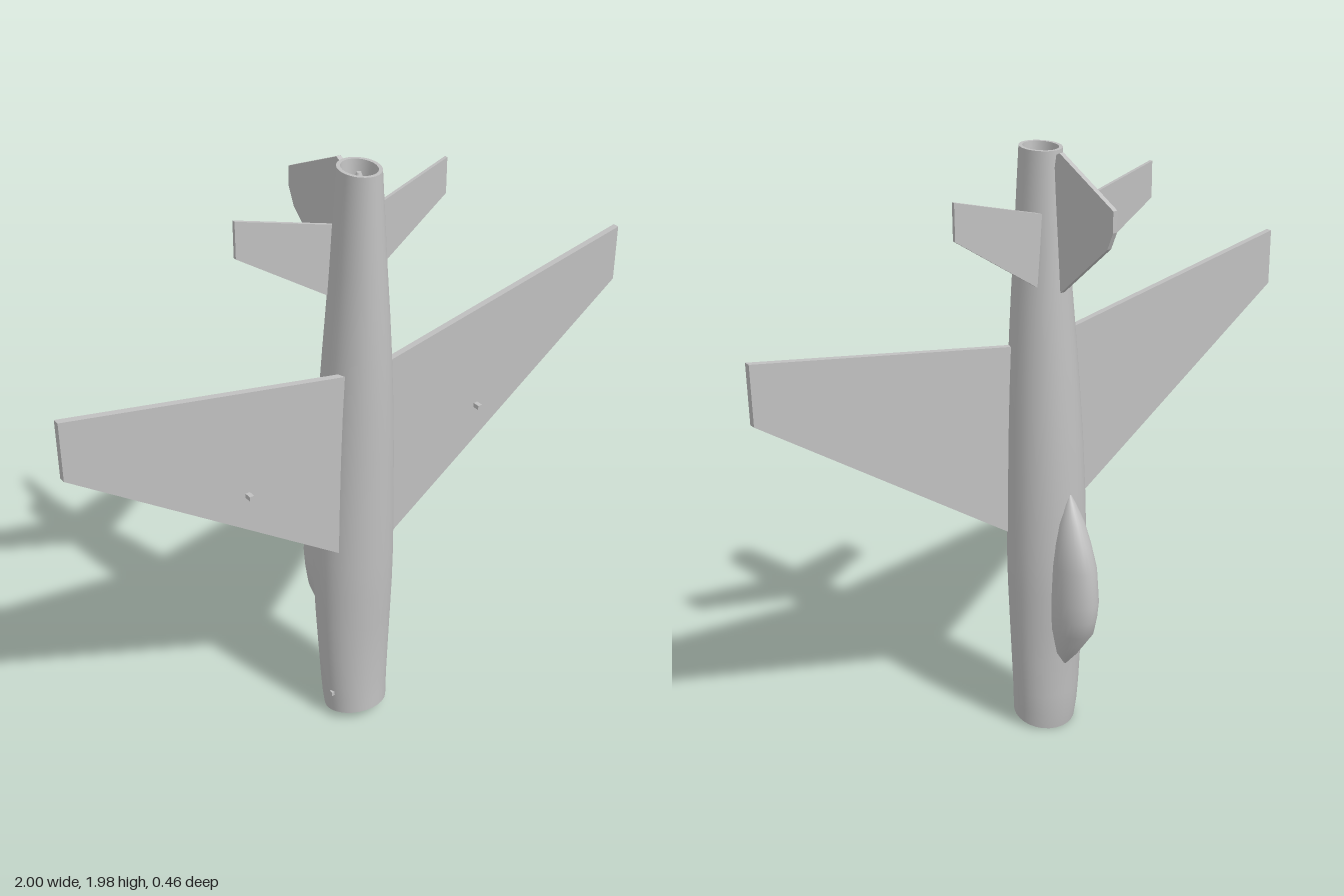
import * as THREE from 'three';

const SEG = 28;
const grey = new THREE.MeshStandardMaterial({ color: 0xc0c0c0, side: THREE.DoubleSide });
grey.name = 'light grey';

// Skin through elliptical sections [y, zMax, zMin, halfWidth, tilt]
function loft(sections) {
  const pos = [], idx = [];
  sections.forEach(([y, z1, z0, hw, tilt = 0]) => {
    for (let i = 0; i < SEG; i++) {
      const a = (i / SEG) * Math.PI * 2;
      const dz = Math.cos(a) * (z1 - z0) / 2;
      pos.push(Math.sin(a) * hw, y + tilt * dz, (z1 + z0) / 2 + dz);
    }
  });
  for (let s = 0; s < sections.length - 1; s++) {
    for (let i = 0; i < SEG; i++) {
      const a = s * SEG + i, b = s * SEG + (i + 1) % SEG;
      idx.push(a, b, b + SEG, a, b + SEG, a + SEG);
    }
  }
  const g = new THREE.BufferGeometry();
  g.setAttribute('position', new THREE.Float32BufferAttribute(pos, 3));
  g.setIndex(idx);
  g.computeVertexNormals();
  return g;
}

// Flat plate from an x/y outline, centred on z = 0
function plate(points, depth) {
  const shape = new THREE.Shape(points.map(([x, y]) => new THREE.Vector2(x, y)));
  return new THREE.ExtrudeGeometry(shape, { depth, bevelEnabled: false }).translate(0, 0, -depth / 2);
}

// Wing panel whose height falls linearly with span
function panel(points, depth, side, zRoot, slope) {
  const g = plate(points.map(([x, y]) => [x * side, y]), depth);
  const p = g.attributes.position;
  for (let i = 0; i < p.count; i++) p.setZ(i, p.getZ(i) + zRoot - slope * Math.abs(p.getX(i)));
  g.computeVertexNormals();
  return g;
}

export function createModel() {
  const model = new THREE.Group();
  const add = (name, geometry, x = 0, y = 0, z = 0) => {
    const m = new THREE.Mesh(geometry, grey);
    m.name = name;
    m.position.set(x, y, z);
    model.add(m);
    return m;
  };

  // Fuselage, nose down, with a slanted intake lip
  add('fuselage', loft([
    [0.023, 0.22, 0.02, 0.105, 0.225],
    [0.075, 0.218, 0.01, 0.109, 0.15],
    [0.14, 0.216, 0.004, 0.113],
    [0.27, 0.215, 0, 0.121],
    [0.4, 0.22, -0.012, 0.126],
    [0.53, 0.227, -0.024, 0.129],
    [0.66, 0.23, -0.029, 0.13],
    [0.85, 0.231, -0.026, 0.126],
    [1.05, 0.231, -0.018, 0.119],
    [1.22, 0.231, -0.008, 0.11],
    [1.38, 0.227, 0.003, 0.1],
    [1.52, 0.221, 0.014, 0.09],
    [1.68, 0.212, 0.025, 0.078],
    [1.83, 0.203, 0.036, 0.069],
    [1.98, 0.194, 0.045, 0.06],
  ]));

  // Intake lip, duct and end wall
  add('intakeLip', loft([
    [0.023, 0.22, 0.02, 0.105, 0.225],
    [0.023, 0.211, 0.029, 0.096, 0.225],
  ]));
  add('intakeDuct', loft([
    [0.023, 0.211, 0.029, 0.096, 0.225],
    [0.1, 0.209, 0.025, 0.097, 0.1],
    [0.3, 0.195, 0.02, 0.09],
  ]));
  add('intakeWall', loft([
    [0.3, 0.195, 0.02, 0.09],
    [0.3, 0.1075, 0.1075, 0],
  ]));

  // Jet nozzle with recessed end and small centre cone
  add('nozzleRim', loft([
    [1.98, 0.194, 0.045, 0.06],
    [1.98, 0.182, 0.057, 0.049],
  ]));
  add('nozzleDuct', loft([
    [1.98, 0.182, 0.057, 0.049],
    [1.93, 0.177, 0.062, 0.045],
  ]));
  add('nozzleWall', loft([
    [1.93, 0.177, 0.062, 0.045],
    [1.93, 0.12, 0.12, 0],
  ]));
  add('exhaustCone', new THREE.CylinderGeometry(0.007, 0.02, 0.04, 16), 0, 1.945, 0.117);

  // Cockpit canopy
  add('canopy', loft([
    [0.255, 0.01, 0.003, 0.004],
    [0.31, 0.045, -0.045, 0.036],
    [0.41, 0.06, -0.118, 0.061],
    [0.47, 0.065, -0.133, 0.066],
    [0.53, 0.065, -0.141, 0.068],
    [0.65, 0.06, -0.131, 0.064],
    [0.73, 0.045, -0.103, 0.054],
    [0.8, 0.02, -0.073, 0.04],
    [0.86, -0.005, -0.04, 0.018],
    [0.89, -0.02, -0.024, 0.003],
  ]));

  // Swept wings, tailplanes and small under-wing fittings
  for (const [side, label] of [[1, 'left'], [-1, 'right']]) {
    add(label + 'Wing', panel(
      [[0.05, 0.678], [1, 1.34], [1, 1.527], [0.05, 1.35]], 0.021, side, 0.165, 0.02), 0, 0, 0);
    add(label + 'Tailplane', panel(
      [[0.02, 1.54], [0.37, 1.775], [0.37, 1.89], [0.02, 1.787]], 0.011, side, 0.062, 0.045));
    add(label + 'WingFitting', new THREE.BoxGeometry(0.015, 0.015, 0.026), side * 0.43, 1.07, 0.177);
  }

  // Vertical fin, outline drawn as (-z, y) and turned upright
  add('fin', plate([
    [-0.05, 1.53], [-0.015, 1.552], [0.2, 1.74], [0.225, 1.795], [0.225, 1.86],
    [-0.02, 1.978], [-0.035, 1.97], [-0.06, 1.85],
  ], 0.015).rotateY(Math.PI / 2));

  // Small nose probe on the right side
  add('noseProbe', new THREE.BoxGeometry(0.014, 0.014, 0.014), -0.107, 0.11, 0.14);

  return model;
}
